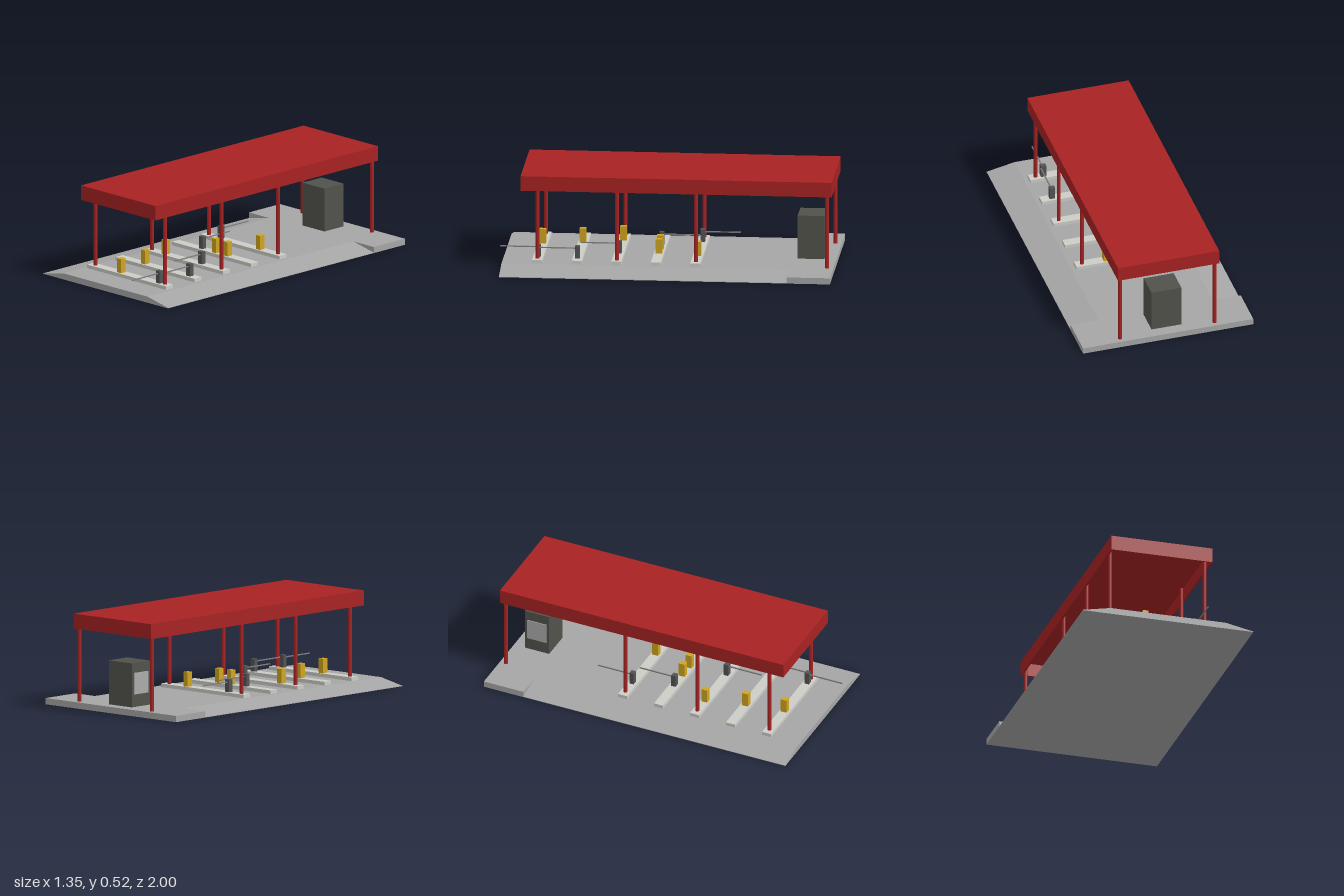
import * as THREE from 'three';

const mat = (name, color) => Object.assign(new THREE.MeshStandardMaterial({ color }), { name });

export function createModel() {
  const concrete = mat('concrete', 0xa6a6a6);
  const kerb = mat('paleKerb', 0xcdcdc8);
  const red = mat('redPaint', 0xa82222);
  const yellow = mat('yellowPaint', 0xd0a520);
  const booth = mat('boothGrey', 0x52524c);
  const machine = mat('darkMachineGrey', 0x545454);
  const armGrey = mat('armGrey', 0x808080);
  const glass = mat('windowGrey', 0xacacac);

  const model = new THREE.Group();
  model.name = 'tollPlaza';
  // The whole plaza stands slightly turned
  const plaza = new THREE.Group();
  plaza.name = 'plaza';
  plaza.rotation.y = -0.2135;
  model.add(plaza);

  const add = (name, geometry, material, x, y, z) => {
    const mesh = new THREE.Mesh(geometry, material);
    mesh.name = name;
    mesh.position.set(x, y, z);
    plaza.add(mesh);
    return mesh;
  };
  // Box standing on height y
  const box = (name, material, w, h, d, x, y, z) =>
    add(name, new THREE.BoxGeometry(w, h, d), material, x, y + h / 2, z);

  // Ground slab: square block at the back, ramped sides along the lanes
  const deck = 0.035, half = 0.49, flat = 0.33, back = -0.915, step = -0.675, front = 0.915;
  box('backSlab', concrete, half * 2, deck, step - back, 0, 0, (back + step) / 2);
  const section = new THREE.Shape([
    [-half, 0], [half, 0], [half, 0.003], [flat, deck], [-flat, deck], [-half, 0.003],
  ].map(([x, y]) => new THREE.Vector2(x, y)));
  add('rampedSlab', new THREE.ExtrudeGeometry(section, { depth: front - step, bevelEnabled: false }),
    concrete, 0, 0, step);

  // Canopy: top plate and four fascia boards, open below
  const cx = -0.005, cz = -0.047, cw = 0.583, cl = 1.72, low = 0.442, top = 0.525, t = 0.01;
  box('canopyTop', red, cw, t, cl, cx, top - t, cz);
  for (const s of [-1, 1]) {
    box('sideFascia', red, t, top - t - low, cl, cx + s * (cw - t) / 2, low, cz);
    box('endFascia', red, cw - 2 * t, top - t - low, t, cx, low, cz + s * (cl - t) / 2);
  }

  // Columns in pairs, reaching up to the canopy top
  const column = (x, z, foot) => {
    const h = top - t - foot;
    add('column', new THREE.CylinderGeometry(0.011, 0.011, h, 16), red, x, foot + h / 2, z);
  };

  // Lane islands with ticket machines (yellow) and barriers (dark, arm towards dir)
  const islandTop = 0.055;
  const islands = [
    { z: 0.72, tickets: [-0.075], barrier: 0.225, dir: 1, columns: true },
    { z: 0.501, tickets: [-0.11], barrier: 0.24, dir: 1 },
    { z: 0.282, tickets: [-0.17], barrier: 0.112, dir: 1, columns: true },
    { z: 0.064, tickets: [0.005, 0.095], barrier: -0.105, dir: -1 },
    { z: -0.155, tickets: [0.128], barrier: -0.18, dir: -1, columns: true },
  ];
  for (const { z, tickets, barrier, dir, columns } of islands) {
    box('island', kerb, 0.62, islandTop - deck + 0.005, 0.055, cx, deck - 0.005, z);
    for (const x of tickets) box('ticketMachine', yellow, 0.032, 0.08, 0.036, x, islandTop, z);
    box('barrierCabinet', machine, 0.03, 0.07, 0.026, barrier, islandTop, z);
    box('barrierArm', armGrey, 0.006, 0.006, 0.2, barrier, 0.107, z + dir * 0.11);
    if (columns) for (const s of [-1, 1]) column(cx + s * 0.272, z, islandTop);
  }
  for (const s of [-1, 1]) column(cx + s * 0.272, -0.88, deck);

  // Control booth with one side window
  box('booth', booth, 0.172, 0.245, 0.148, -0.01, deck, -0.775);
  box('boothWindow', glass, 0.006, 0.12, 0.115, -0.097, 0.105, -0.775);

  return model;
}
